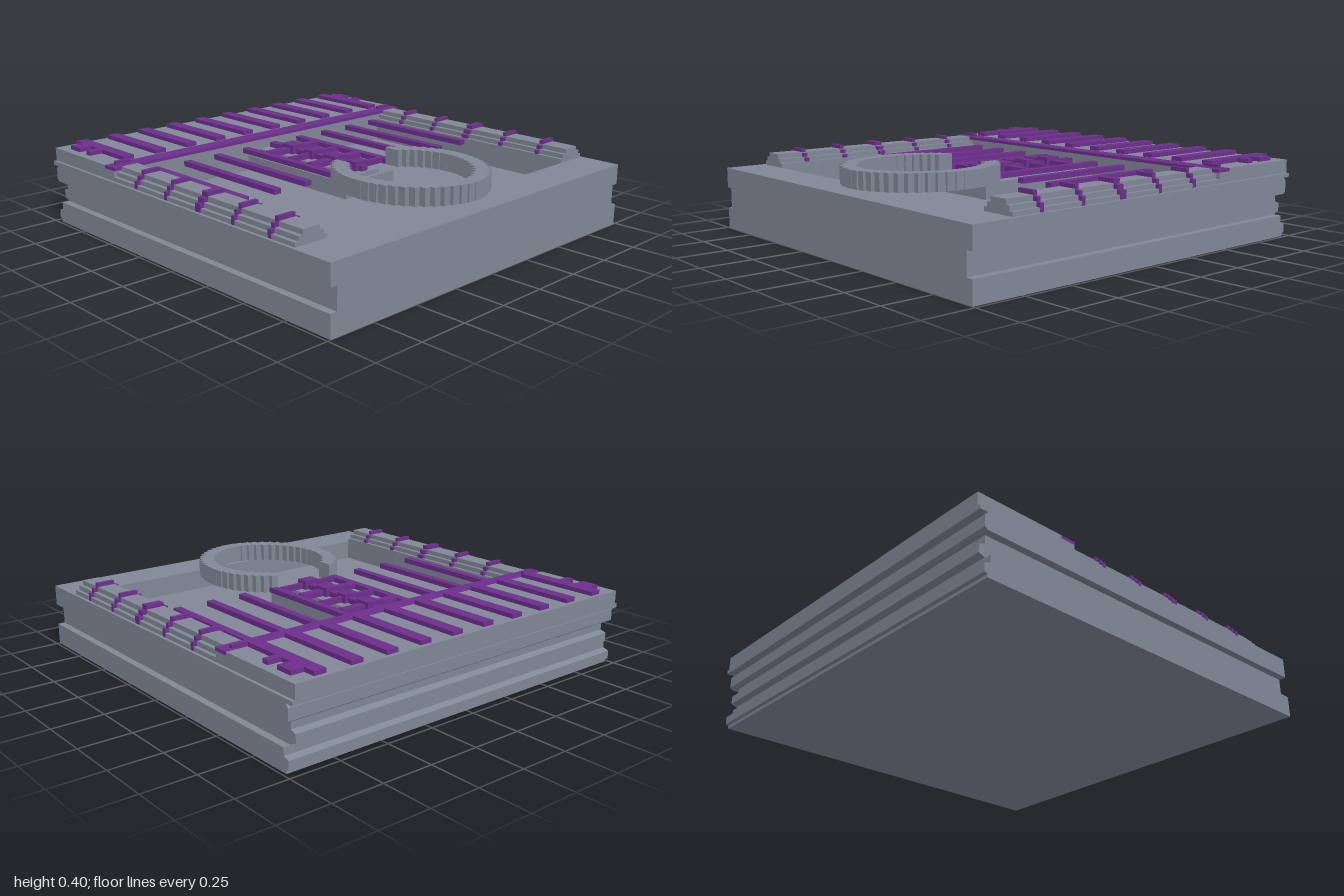
import * as THREE from 'three';

const grey = new THREE.MeshStandardMaterial({ color: 0x808796 });
grey.name = 'slate grey';
const purple = new THREE.MeshStandardMaterial({ color: 0x6c2f8c });
purple.name = 'purple';

export function createModel() {
  const model = new THREE.Group();

  const add = (name, geometry, material) => {
    const mesh = new THREE.Mesh(geometry, material);
    mesh.name = name;
    model.add(mesh);
    return mesh;
  };
  // Box given by its limits on each axis
  const box = (name, material, x0, x1, y0, y1, z0, z1) => {
    const g = new THREE.BoxGeometry(x1 - x0, y1 - y0, z1 - z0);
    g.translate((x0 + x1) / 2, (y0 + y1) / 2, (z0 + z1) / 2);
    return add(name, g, material);
  };
  // The same box on both sides
  const pair = (name, material, x0, x1, ...rest) => {
    box(name + 'Left', material, x0, x1, ...rest);
    box(name + 'Right', material, -x1, -x0, ...rest);
  };
  const extrude = (points, depth) => new THREE.ExtrudeGeometry(
    new THREE.Shape(points.map(p => new THREE.Vector2(p[0], p[1]))),
    { depth, bevelEnabled: false });
  // Side profile of [z, y] points, extruded across the width
  const acrossX = (name, halfWidth, profile) => {
    const g = extrude(profile.map(([z, y]) => [-z, y]), halfWidth * 2);
    g.rotateY(Math.PI / 2);
    g.translate(-halfWidth, 0, 0);
    add(name, g, grey);
  };

  // Base layers, with side grooves and a ribbed back
  acrossX('lowerLayer', 0.985, [[1, 0], [1, 0.105], [-0.945, 0.105], [-0.945, 0.07],
    [-0.975, 0.06], [-0.975, 0.02], [-0.96, 0.015], [-0.96, 0]]);
  acrossX('middleLayer', 0.95, [[1, 0.105], [1, 0.21], [-0.945, 0.21], [-0.945, 0.17],
    [-0.975, 0.16], [-0.975, 0.12], [-0.945, 0.11], [-0.945, 0.105]]);
  acrossX('backBlock', 0.985, [[-0.47, 0.21], [-0.47, 0.31], [-1, 0.31], [-1, 0.29],
    [-0.96, 0.29], [-0.975, 0.275], [-0.975, 0.22], [-0.96, 0.21]]);
  box('frontRim', grey, -0.985, 0.985, 0.21, 0.31, 0.79, 1);
  pair('sideRim', grey, 0.8, 0.985, 0.21, 0.31, -0.47, 0.79);

  // Raised deck at the back with its cross beam
  box('backDeck', grey, -0.97, 0.97, 0.31, 0.375, -1, -0.545);
  box('beamSupport', grey, -0.97, 0.97, 0.31, 0.36, -0.545, -0.47);
  box('crossBeam', purple, -0.97, 0.97, 0.36, 0.375, -0.545, -0.465);
  pair('beamStud', purple, 0.85, 0.93, 0.375, 0.39, -0.53, -0.51);

  // Bars on the deck, the outer ones with tabs
  for (let i = 0; i < 5; i++) {
    const x = 0.095 + i * 0.185;
    pair('deckBar' + i, purple, x - 0.03, x + 0.03, 0.375, 0.395, -0.98, -0.55);
  }
  pair('wideTab', purple, 0.865, 0.93, 0.375, 0.395, -0.92, -0.835);
  pair('narrowTab', purple, 0.865, 0.93, 0.375, 0.395, -0.775, -0.74);

  // Stepped side rails, wrapped by bands
  const railProfile = lift => [[-0.085, 0.31], [0.085, 0.31], [0.085, 0.33 + lift],
    [0.067, 0.33 + lift], [0.067, 0.352 + lift], [0.045, 0.352 + lift],
    [0.045, 0.375 + lift], [-0.045, 0.375 + lift], [-0.045, 0.352 + lift],
    [-0.067, 0.352 + lift], [-0.067, 0.33 + lift], [-0.085, 0.33 + lift]];
  const bands = [[0.64, 0.02], [0.41, 0.02], [0.175, 0.038], [-0.06, 0.02], [-0.29, 0.02]];
  for (const side of [1, -1]) {
    add('sideRail', extrude(railProfile(0), 1.26), grey).position.set(side * 0.885, 0, -0.47);
    for (const [z, w] of bands) {
      add('railBand', extrude(railProfile(0.018), w), purple)
        .position.set(side * 0.886, 0, z - w / 2);
    }
  }

  // Long strips over the sunken floor
  for (const x of [0.185, 0.37, 0.555, 0.74]) {
    pair('floorStrip', purple, x - 0.019, x + 0.019, 0.31, 0.335, -0.466, 0.212);
  }

  // Central walkway: stepped plinth, spine, rungs and nodes
  box('walkway', grey, -0.165, 0.165, 0.21, 0.29, -0.47, 0.25);
  box('walkwayStep', grey, -0.083, 0.083, 0.29, 0.31, -0.47, 0.23);
  box('spine', purple, -0.02, 0.02, 0.31, 0.335, -0.466, 0.212);
  for (const [z, rung, node] of [[-0.305, 0.04, 0.085], [-0.148, 0.02, 0.06],
    [0.005, 0.04, 0.08], [0.16, 0.02, 0.06]]) {
    box('rung', purple, -0.166, 0.166, 0.312, 0.34, z - rung / 2, z + rung / 2);
    box('node', purple, -0.04, 0.04, 0.31, 0.355, z - node / 2, z + node / 2);
  }

  // Open ring with a stair-stepped outline
  const stairs = (rx, rz, count) => {
    const start = Math.asin(0.165 / rx);
    const points = [];
    let last = null;
    for (let i = 0; i <= count; i++) {
      const a = start + (2 * Math.PI - 2 * start) * i / count;
      const p = [rx * Math.sin(a), rz * Math.cos(a) - 0.52];
      if (last) {
        const horizontalFirst = Math.abs(last[0]) > Math.abs(p[0]) === (last[1] + 0.52 > 0);
        points.push(horizontalFirst ? [last[0], p[1]] : [p[0], last[1]]);
      }
      points.push(p);
      last = p;
    }
    return points;
  };
  const ring = extrude([...stairs(0.347, 0.37, 44), ...stairs(0.28, 0.3, 36).reverse()], 0.085);
  ring.rotateX(-Math.PI / 2);
  ring.translate(0, 0.31, 0);
  add('ringWall', ring, grey);

  return model;
}
